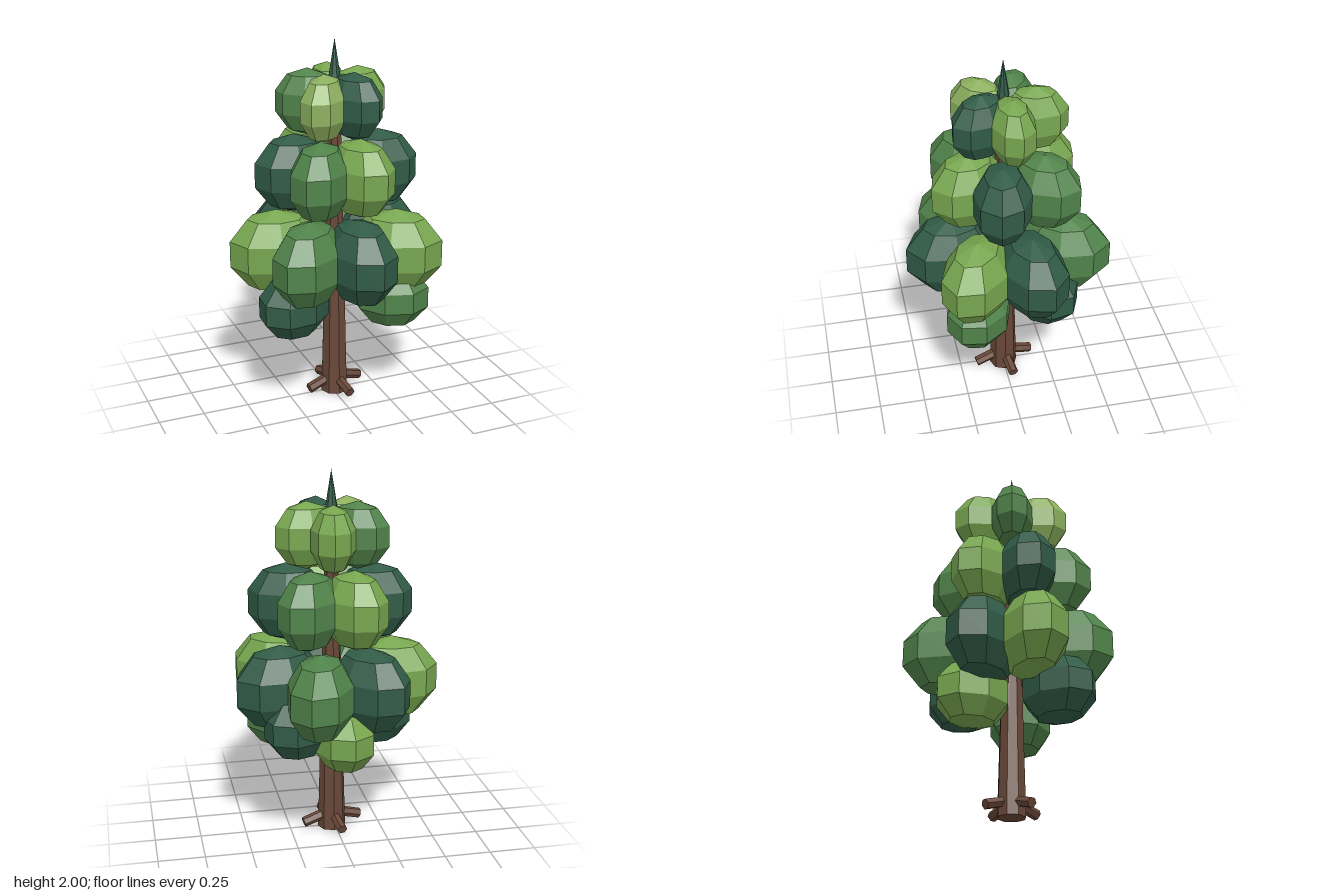
import * as THREE from 'three';

const LIGHT = 0x77a64f, PALE = 0x8cb05f, MID = 0x50834a, DARK = 0x315b47, BARK = 0x684738;
const AXIS_X = 0.016; // trunk axis
const rad = THREE.MathUtils.degToRad;

const mat = (color) => new THREE.MeshStandardMaterial({ color, flatShading: true });

function add(parent, name, geometry, color) {
  const mesh = new THREE.Mesh(geometry, mat(color));
  mesh.name = name;
  parent.add(mesh);
  return mesh;
}

// Each clump: [angle from +x towards +z, outer reach, colour, optional height]
// size: half extents along the radius, up, and across
const TIERS = [
  { name: 'topFoliage', y: 1.665, size: [0.168, 0.178, 0.115], clumps: [
    [-8, 0.305, LIGHT], [65, 0.305, DARK], [134, 0.315, PALE], [207, 0.31, MID], [278, 0.33, LIGHT]] },
  { name: 'upperFoliage', y: 1.3, size: [0.21, 0.212, 0.152], clumps: [
    [12, 0.442, DARK], [72, 0.415, LIGHT], [131, 0.44, MID],
    [187, 0.43, DARK], [248, 0.43, LIGHT], [309, 0.445, MID]] },
  { name: 'middleFoliage', y: 0.872, size: [0.25, 0.232, 0.173], clumps: [
    [-17.5, 0.56, DARK], [35, 0.585, LIGHT], [84.5, 0.537, DARK], [137.5, 0.56, MID],
    [187.5, 0.572, LIGHT], [237, 0.535, DARK], [291, 0.578, MID]] },
  { name: 'lowerFoliage', y: 0.615, size: [0.205, 0.183, 0.165], clumps: [
    [36, 0.52, MID], [156, 0.515, DARK], [265, 0.445, LIGHT], [-40, 0.48, DARK, 0.68]] },
];

export function createModel() {
  const tree = new THREE.Group();
  tree.name = 'tree';
  const body = new THREE.Group();
  body.name = 'treeBody';
  body.position.x = AXIS_X;
  tree.add(body);

  // Tapered trunk reaching up into the crown
  const trunk = add(body, 'trunk', new THREE.CylinderGeometry(0.03, 0.077, 1.81, 8), BARK);
  trunk.position.y = 0.905;

  // Four short stubby roots sloping down and outward
  for (let i = 0; i < 4; i++) {
    const pivot = new THREE.Group();
    pivot.name = 'rootPivot';
    pivot.rotation.y = -rad(i * 90 - 10);
    const root = add(pivot, 'root', new THREE.CylinderGeometry(0.028, 0.028, 0.14, 6), BARK);
    root.rotation.z = -Math.PI / 2 - 0.28;
    root.position.set(0.098, 0.062, 0);
    body.add(pivot);
  }

  // Rings of faceted leaf clumps, each turned to point outward
  for (const { name, y, size, clumps } of TIERS) {
    const tier = new THREE.Group();
    tier.name = name;
    for (const [angle, reach, color, height = y] of clumps) {
      const a = rad(angle), r = reach - size[0];
      const clump = add(tier, 'leafClump', new THREE.SphereGeometry(1, 8, 5), color);
      clump.scale.set(size[0] / 0.951, size[1], size[2] / 0.951);
      clump.rotation.y = -a;
      clump.position.set(r * Math.cos(a), height, r * Math.sin(a));
    }
    body.add(tier);
  }

  // Pointed tip
  const tip = add(body, 'tip', new THREE.ConeGeometry(0.033, 0.2, 8), DARK);
  tip.position.y = 1.9;

  return tree;
}
